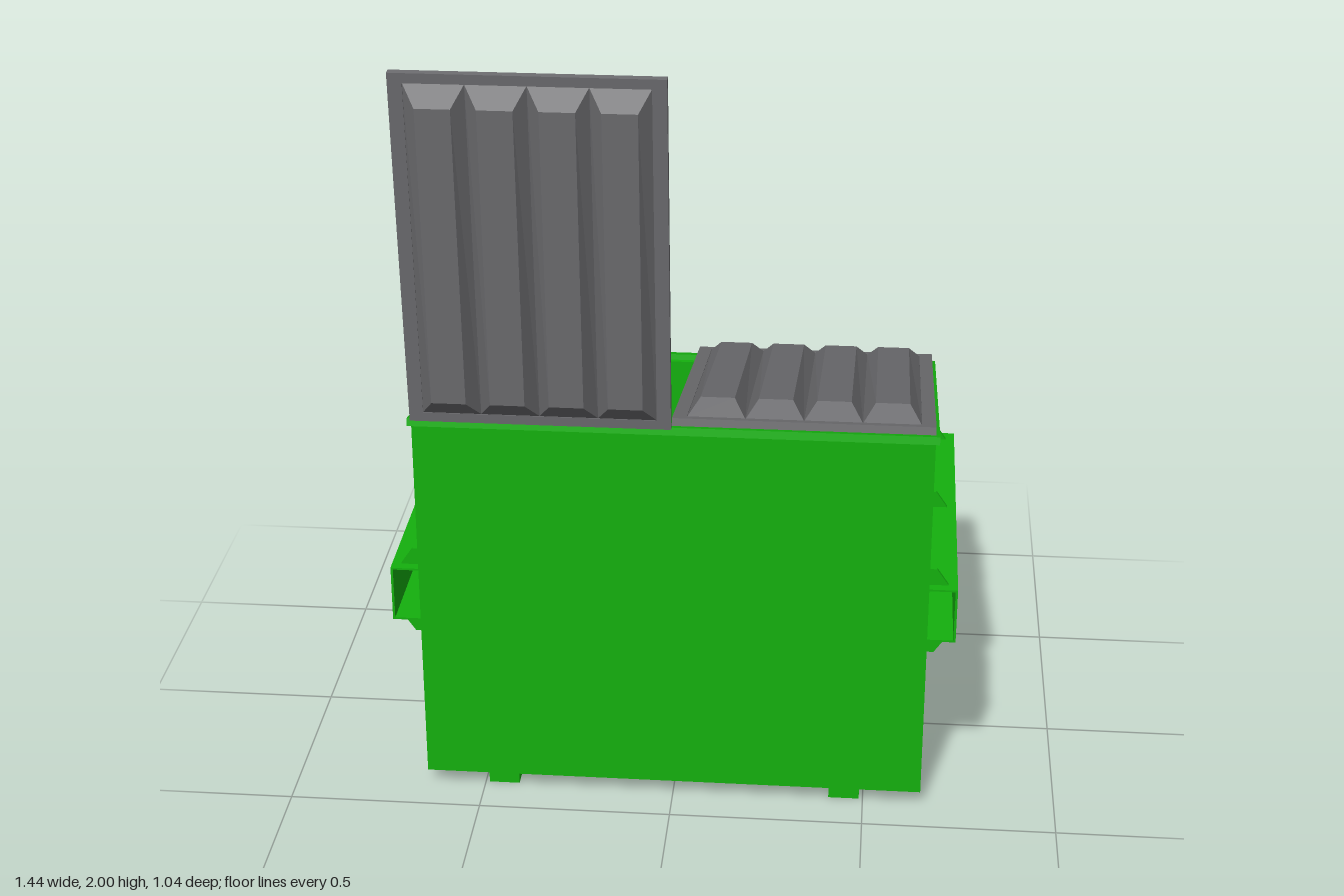
import * as THREE from 'three';

const green = new THREE.MeshStandardMaterial({ color: 0x14b00e, flatShading: true });
const grey = new THREE.MeshStandardMaterial({ color: 0x6c6c6f, flatShading: true, side: THREE.DoubleSide });

const SLOPE = 0.226;                       // fall of the top from front to back
const TILT = Math.atan(SLOPE);
const wallTop = (z) => 0.958 + SLOPE * (z + 0.046);

function add(parent, name, geometry, material = green) {
  const mesh = new THREE.Mesh(geometry, material);
  mesh.name = name;
  parent.add(mesh);
  return mesh;
}

// Box given by its limits on each axis
function box(x0, x1, y0, y1, z0, z1) {
  return new THREE.BoxGeometry(x1 - x0, y1 - y0, z1 - z0)
    .translate((x0 + x1) / 2, (y0 + y1) / 2, (z0 + z1) / 2);
}

const polygon = (points) => new THREE.Shape(points.map(([x, y]) => new THREE.Vector2(x, y)));
const extrude = (shape, depth) => new THREE.ExtrudeGeometry(shape, { depth, bevelEnabled: false });

// Flat frame lying on y = 0; outer and inner are [x0, x1, d0, d1], d running towards -z
function frame(outer, inner, thickness) {
  const rect = ([a, b, c, d]) => [[a, c], [b, c], [b, d], [a, d]];
  const shape = polygon(rect(outer));
  shape.holes.push(polygon(rect(inner)));
  return extrude(shape, thickness).rotateX(-Math.PI / 2);
}

// Hollow hipped rib, open below, slightly lower at its far end
function lidRib(x0, x1, z0, z1, base, h0, h1) {
  const s = 0.03, e = 0.05;
  const p = [
    [x0, base, z0], [x1, base, z0], [x1, base, z1], [x0, base, z1],
    [x0 + s, base + h0, z0 - e], [x1 - s, base + h0, z0 - e],
    [x1 - s, base + h1, z1 + e], [x0 + s, base + h1, z1 + e],
  ];
  const quads = [[4, 5, 6, 7], [0, 1, 5, 4], [1, 2, 6, 5], [2, 3, 7, 6], [3, 0, 4, 7]];
  const position = quads.flatMap(([a, b, c, d]) => [a, b, c, a, c, d].flatMap((i) => p[i]));
  const g = new THREE.BufferGeometry();
  g.setAttribute('position', new THREE.Float32BufferAttribute(position, 3));
  g.computeVertexNormals();
  return g;
}

// Lid with its hinge along the local x axis, reaching towards -z
function makeLid(name, x, angle) {
  const lid = new THREE.Group();
  lid.name = name;
  const width = 0.65, length = 0.925, edge = 0.035, pitch = (width - 2 * edge) / 4;
  add(lid, 'lidBorder', frame([0, width, 0, length], [edge, width - edge, 0.025, length - 0.025], 0.02), grey);
  for (let i = 0; i < 4; i++) {
    const x0 = edge + i * pitch;
    add(lid, 'lidRib', lidRib(x0, x0 + pitch, -0.025, -length + 0.025, 0.018, 0.042, 0.032), grey);
  }
  lid.position.set(x, 1.078, 0.405);
  lid.rotation.x = angle;
  return lid;
}

export function createModel() {
  const model = new THREE.Group();
  model.name = 'dumpster';

  // Open bin
  const body = new THREE.Group();
  body.name = 'body';
  model.add(body);
  add(body, 'floor', box(-0.64, 0.64, 0.045, 0.06, -0.485, 0.4));
  add(body, 'frontWall', box(-0.645, 0.645, 0.045, wallTop(0.41), 0.395, 0.41));
  add(body, 'backWall', box(-0.64, 0.64, 0.045, wallTop(-0.485), -0.485, -0.47));
  for (const y of [0.33, 0.66]) {
    add(body, 'backRib', box(-0.64, 0.64, y - 0.015, y + 0.015, -0.498, -0.48));
  }
  const sideShape = polygon([[-0.5, 0.045], [0.41, 0.045], [0.41, wallTop(0.41)], [-0.5, wallTop(-0.5)]]);
  for (const x of [0.65, -0.635]) {
    add(body, 'sideWall', extrude(sideShape, 0.015).rotateY(-Math.PI / 2).translate(x, 0, 0));
  }

  // Sloping rim
  const rim = add(body, 'rim', frame([-0.66, 0.66, -0.476, 0.476], [-0.625, 0.625, -0.447, 0.447], 0.02));
  rim.rotation.x = -TILT;
  rim.position.set(0, 0.953, -0.046);

  for (const side of [1, -1]) {
    // Skids
    const inner = side > 0 ? 0.41 : -0.49;
    add(model, 'skid', box(inner, inner + 0.08, 0, 0.048, -0.47, 0.385));

    // Fork pocket: channel open at both ends
    const pocket = new THREE.Group();
    pocket.name = side > 0 ? 'leftForkPocket' : 'rightForkPocket';
    model.add(pocket);
    const span = (a, b) => (side > 0 ? [a, b] : [-b, -a]);
    add(pocket, 'pocketOuterPlate', box(...span(0.716, 0.722), 0.5, 0.65, -0.503, 0.41));
    for (const y of [0.5, 0.645]) {
      add(pocket, 'pocketShelf', box(...span(0.645, 0.718), y, y + 0.005, -0.503, 0.41));
    }

    // Gussets above and below the pocket
    for (const z of [0.38, -0.05, -0.465]) {
      for (const [root, tip] of [[0.648, 0.695], [0.502, 0.455]]) {
        const shape = polygon([[0.645, root], [0.7, root], [0.668, tip], [0.645, tip]].map(([x, y]) => [side * x, y]));
        add(pocket, 'gusset', extrude(shape, 0.01).translate(0, 0, z - 0.005));
      }
    }
  }

  // One lid shut, the other swung open over the front
  model.add(makeLid('closedLid', 0, -TILT));
  model.add(makeLid('openLid', -0.65, 1.652));
  return model;
}
